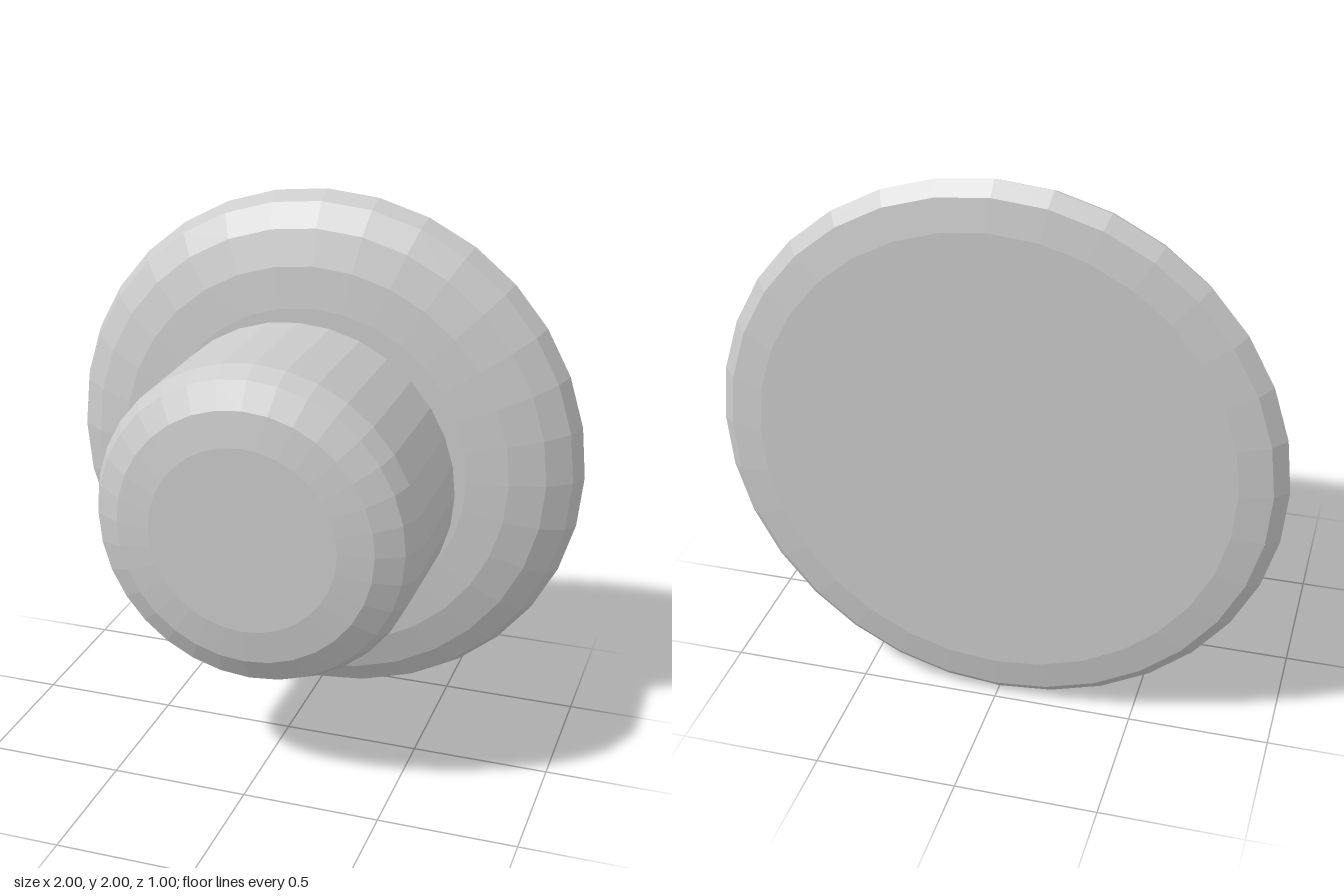
import * as THREE from 'three';

const SIDES = 32;

// Points of a quarter-ellipse edge centred at (r, z), from angle a0 to a1 (degrees)
function roundedEdge(r, z, dr, dz, a0, a1, steps) {
  const points = [];
  for (let i = 0; i <= steps; i++) {
    const a = THREE.MathUtils.degToRad(a0 + ((a1 - a0) * i) / steps);
    points.push(new THREE.Vector2(r + dr * Math.cos(a), z + dz * Math.sin(a)));
  }
  return points;
}

// Closed turned solid along z, given its rim profile from back to front
function turned(name, rim, material) {
  const profile = [
    new THREE.Vector2(0, rim[0].y),
    ...rim,
    new THREE.Vector2(0, rim[rim.length - 1].y),
  ];
  const geometry = new THREE.LatheGeometry(profile, SIDES);
  geometry.rotateX(Math.PI / 2);
  const mesh = new THREE.Mesh(geometry, material);
  mesh.name = name;
  mesh.position.y = 1;
  return mesh;
}

export function createModel() {
  const model = new THREE.Group();
  model.name = 'roundKnob';
  const material = new THREE.MeshStandardMaterial({ color: 0xcccccc, flatShading: true });

  // Wide backing plate: tight rounding behind, broad dome in front
  const plateRim = [
    ...roundedEdge(0.84, -0.435, 0.16, 0.065, -90, 0, 2),
    ...roundedEdge(0.6, -0.435, 0.4, 0.183, 0, 90, 4).slice(1),
  ];
  model.add(turned('backPlate', plateRim, material));

  // Cylindrical grip with both ends rounded
  const gripRim = [
    ...roundedEdge(0.34, -0.11, 0.25, 0.14, -90, 0, 3),
    ...roundedEdge(0.34, 0.36, 0.25, 0.14, 0, 90, 3),
  ];
  model.add(turned('grip', gripRim, material));

  return model;
}
